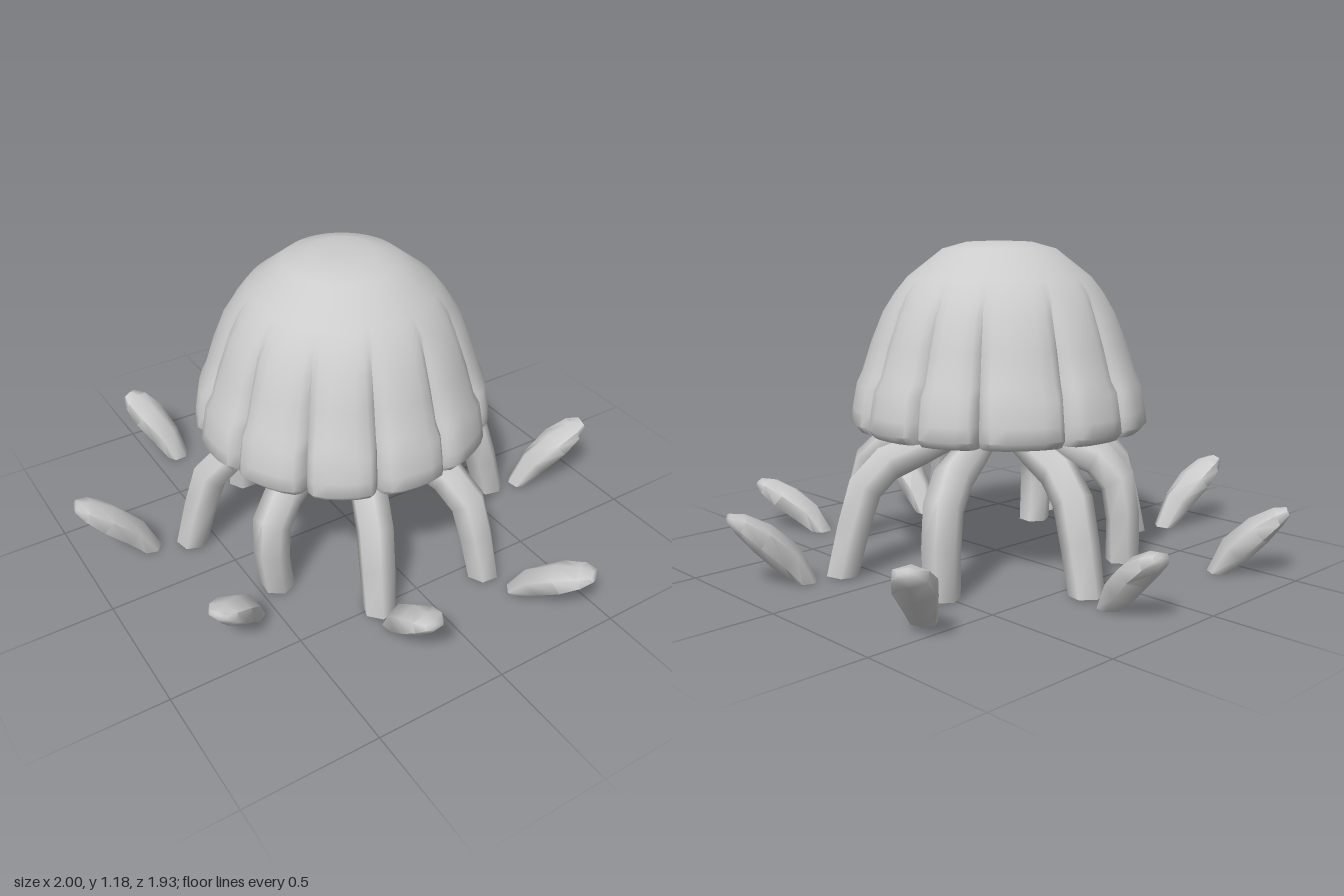
import * as THREE from 'three';
import { toCreasedNormals } from 'three/addons/utils/BufferGeometryUtils.js';

// Shells are open underneath, so both faces show
const skin = new THREE.MeshStandardMaterial({ color: 0xcccccc, side: THREE.DoubleSide });
skin.name = 'pale grey skin';

// Skin a list of closed rings and cap either the first or the last one
function loft(rings, capLast, crease) {
  const n = rings[0].length, pos = [], index = [];
  rings.forEach(r => r.forEach(p => pos.push(p.x, p.y, p.z)));
  for (let j = 0; j < rings.length - 1; j++) {
    for (let i = 0; i < n; i++) {
      const k = (i + 1) % n;
      const a = j * n + i, b = j * n + k, c = b + n, d = a + n;
      index.push(a, b, c, a, c, d);
    }
  }
  const j = capLast ? rings.length - 1 : 0, m = pos.length / 3;
  const mid = new THREE.Vector3();
  rings[j].forEach(p => mid.addScaledVector(p, 1 / n));
  pos.push(mid.x, mid.y, mid.z);
  for (let i = 0; i < n; i++) {
    const a = j * n + i, b = j * n + (i + 1) % n;
    capLast ? index.push(m, a, b) : index.push(m, b, a);
  }
  const geo = new THREE.BufferGeometry();
  geo.setAttribute('position', new THREE.Float32BufferAttribute(pos, 3));
  geo.setIndex(index);
  return toCreasedNormals(geo, crease);
}

// Limb in the x-y plane; station = [x, y, half width, half thickness, ring tilt in degrees]
function limb(stations, capLast) {
  const sides = 6;
  const rings = stations.map(([u, y, w, h, tilt]) => {
    const a = THREE.MathUtils.degToRad(tilt);
    return Array.from({ length: sides }, (_, i) => {
      const f = (i / sides) * Math.PI * 2, c = h * Math.cos(f);
      return new THREE.Vector3(u + c * Math.cos(a), y + c * Math.sin(a), w * Math.sin(f));
    });
  });
  return loft(rings, capLast, 1.2);
}

// Hollow bell with pinched grooves between its lobes
function bell() {
  const grooves = [-38, -13, 14, 48, 79, 108, 136, 166, 194, 228, 260, 288];
  // [radius, height, groove depth], down the outside and in along the lip
  const profile = [
    [0.04, 1.185, 0], [0.12, 1.182, 0], [0.21, 1.157, 0], [0.34, 1.055, 0],
    [0.385, 1.0, 0.004], [0.43, 0.93, 0.022], [0.475, 0.82, 0.034], [0.51, 0.71, 0.042],
    [0.53, 0.67, 0.048], [0.547, 0.58, 0.052], [0.554, 0.53, 0.055], [0.53, 0.503, 0.05],
    [0.44, 0.503, 0.015],
  ];
  // [position across a lobe, share of the groove depth]
  const across = [[0, 1], [0.055, 0.4], [0.13, 0.1], [0.3, 0], [0.5, 0], [0.7, 0], [0.87, 0.1], [0.945, 0.4]];
  const rings = profile.map(([r, y, depth]) => grooves.flatMap((from, g) => {
    const to = g + 1 < grooves.length ? grooves[g + 1] : grooves[0] + 360;
    return across.map(([t, pinch]) => {
      // Grooves are wider above the rim band
      const q = r - depth * Math.pow(pinch, y > 0.69 ? 0.6 : 1);
      const a = THREE.MathUtils.degToRad(from + (to - from) * t);
      return new THREE.Vector3(q * Math.cos(a), y, q * Math.sin(a));
    });
  }));
  return loft(rings, false, 0.9);
}

export function createModel() {
  const model = new THREE.Group();
  model.name = 'jellyfish';
  const add = (name, geo, x, z, turn) => {
    const mesh = new THREE.Mesh(geo, skin);
    mesh.name = name;
    mesh.position.set(x, 0, z);
    mesh.rotation.y = turn;
    model.add(mesh);
  };

  add('bell', bell(), -0.008, -0.01, 0);

  // Tentacles bend out from inside the bell: [foot x, foot z, how far the knee juts out]
  const feet = [
    [0.61, 0.155, 0.25], [0.26, 0.565, 0.3], [-0.18, 0.52, 0.2], [-0.43, 0.21, 1.35],
    [-0.59, -0.19, 0.25], [-0.24, -0.43, 0.8], [0.155, -0.6, 0.25], [0.525, -0.285, 0.95],
  ];
  const jut = [0, 0, 0.01, 0.04, 0.09, 0.105, 0.075, 0];
  feet.forEach(([x, z, knee]) => {
    const k = Math.hypot(x, z) / 0.62;
    const path = [
      [0.09, 0.6, 0.04, 0.04, 30], [0.13, 0.53, 0.058, 0.055, 38], [0.2, 0.475, 0.062, 0.06, 58],
      [0.3, 0.435, 0.065, 0.062, 70], [0.42, 0.395, 0.07, 0.07, 60], [0.503, 0.315, 0.07, 0.07, 34],
      [0.555, 0.18, 0.068, 0.064, 16], [0.618, 0.012, 0.062, 0.062, 2],
    ].map(([u, ...rest], i) => [(u + jut[i] * knee) * k, ...rest]);
    add('tentacle', limb(path, false), 0, 0, -Math.atan2(z, x));
  });

  // Loose tips rising from the ground: [inner x, inner z, outer x, outer z, height]
  const tips = [
    [0.7, 0.18, 0.995, 0.28, 0.28], [0.295, 0.66, 0.455, 0.95, 0.2],
    [-0.17, 0.57, -0.205, 0.885, 0.25], [-0.55, 0.275, -0.785, 0.44, 0.23],
    [-0.7, -0.235, -1, -0.315, 0.28], [-0.375, -0.715, -0.515, -0.96, 0.26],
    [0.175, -0.685, 0.225, -0.965, 0.25], [0.67, -0.375, 0.915, -0.58, 0.27],
  ];
  tips.forEach(([x0, z0, x1, z1, top]) => {
    const L = Math.hypot(x1 - x0, z1 - z0), H = top / 0.28;
    const path = [
      [0.14, 0.008, 0.047, 0.042, 180], [0.34, 0.1, 0.062, 0.058, 142],
      [0.62, 0.185, 0.078, 0.054, 130], [0.85, 0.242, 0.064, 0.036, 118],
      [0.97, 0.266, 0.035, 0.016, 115],
    ].map(([u, y, ...rest]) => [u * L, y * H, ...rest]);
    add('tentacleTip', limb(path, true), x0, z0, -Math.atan2(z1 - z0, x1 - x0));
  });

  return model;
}
